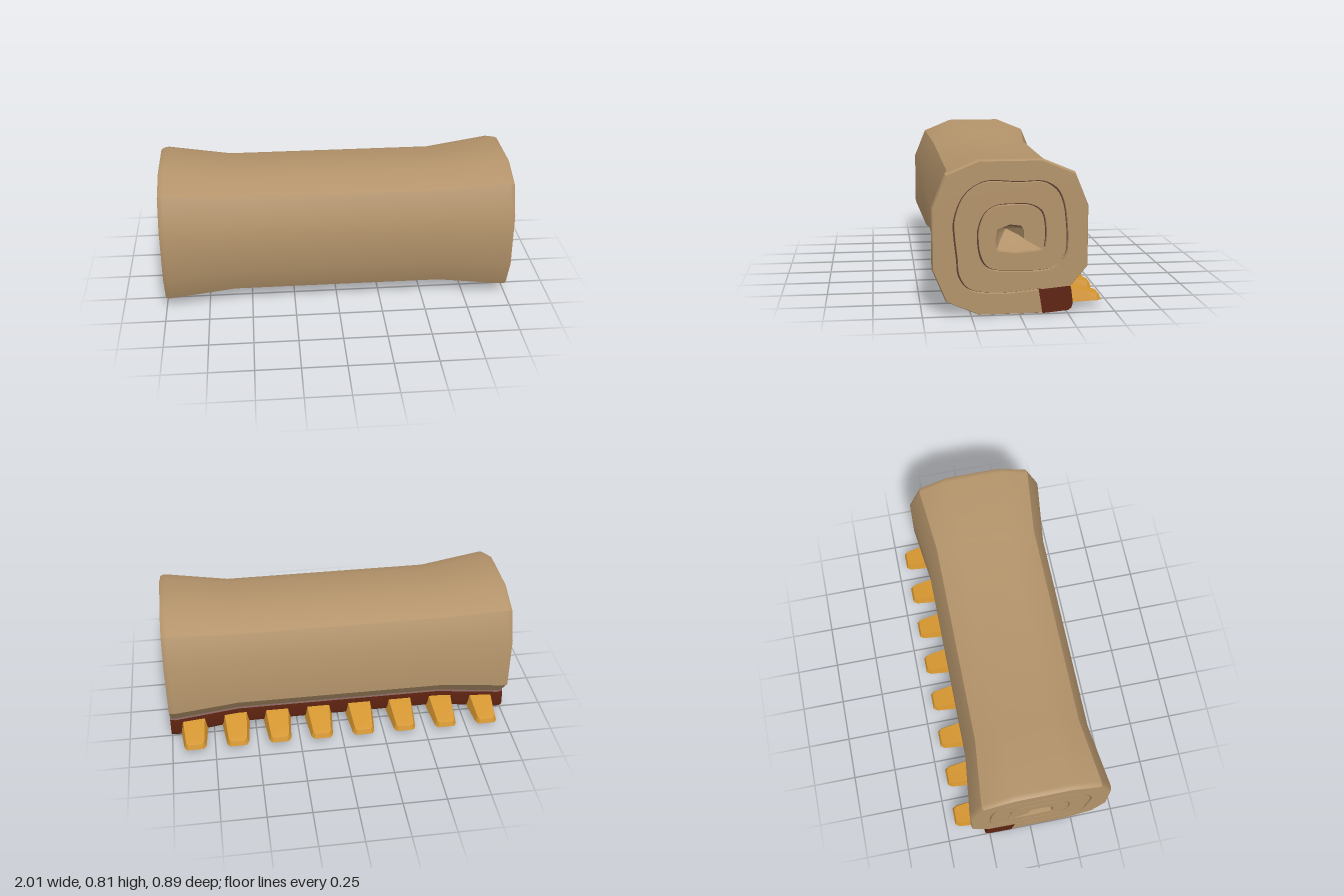
import * as THREE from 'three';
import { toCreasedNormals } from 'three/addons/utils/BufferGeometryUtils.js';

// Skin a list of equal-length rings; caps close the two ends with fans
function loft(rings, caps, crease) {
  const n = rings[0].length, index = [];
  for (let r = 0; r < rings.length - 1; r++) {
    for (let i = 0; i < n; i++) {
      const a = r * n + i, b = r * n + (i + 1) % n;
      index.push(a, a + n, b, b, a + n, b + n);
    }
  }
  if (caps) {
    const last = (rings.length - 1) * n;
    for (let i = 1; i < n - 1; i++) index.push(0, i, i + 1, last, last + i + 1, last + i);
  }
  const geometry = new THREE.BufferGeometry();
  geometry.setAttribute('position', new THREE.Float32BufferAttribute(rings.flat(2), 3));
  geometry.setIndex(index);
  return toCreasedNormals(geometry, crease);
}

// Pinch a [z, y] section; the height shrinks a little less than the depth
const pinch = (pts, s) => pts.map(([z, y]) => [
  0.045 + (z - 0.045) * s, 0.32 + (y - 0.32) * (1 - (1 - s) * 0.91)]);
const ringAt = (pts, x, s) => pinch(pts, s).map(([z, y]) => [x, y, z]);
const vec = (pts) => pts.map(([z, y]) => new THREE.Vector2(z, y));

export function createModel() {
  const group = new THREE.Group();
  const material = (name, color, side = THREE.FrontSide) => {
    const m = new THREE.MeshStandardMaterial({ color, side });
    m.name = name;
    return m;
  };
  const tan = material('tan cloth', 0xb3936a, THREE.DoubleSide);
  const dark = material('dark seam', 0x573d30, THREE.DoubleSide);
  const red = material('dark red trim', 0x5e2310);
  const gold = material('gold fringe', 0xd4952f);
  const add = (name, geometry, mat) => {
    const mesh = new THREE.Mesh(geometry, mat);
    mesh.name = name;
    group.add(mesh);
    return mesh;
  };

  // Roll outline as [z, y], and how it pinches along x
  const outline = [
    [0.21, 0.805], [-0.115, 0.805], [-0.285, 0.735], [-0.355, 0.565], [-0.355, 0.245],
    [-0.267, 0.14], [-0.12, 0], [0.21, 0], [0.38, 0.075], [0.45, 0.245],
    [0.45, 0.565], [0.38, 0.735]];
  const stations = [[-1, 0.982], [-0.99, 0.995], [-0.97, 1], [-0.6, 0.89],
    [0.6, 0.89], [0.97, 1], [0.99, 0.995], [1, 0.982]];
  add('roll', loft(stations.map(([x, s]) => ringAt(outline, x, s)), false, 0.6), tan);

  // Spiral seam outline, made by offsetting a curve to both sides
  const path = [
    [-0.125, 0.347], [-0.133, 0.4], [-0.13, 0.48], [-0.11, 0.54], [-0.05, 0.573], [0.03, 0.577],
    [0.12, 0.57], [0.18, 0.53], [0.21, 0.46], [0.215, 0.4], [0.205, 0.32], [0.175, 0.26],
    [0.12, 0.235], [0, 0.23], [-0.12, 0.23], [-0.19, 0.255], [-0.235, 0.31], [-0.245, 0.38],
    [-0.24, 0.48], [-0.225, 0.58], [-0.19, 0.65], [-0.12, 0.69], [-0.02, 0.69], [0.05, 0.692],
    [0.16, 0.697], [0.24, 0.665], [0.3, 0.6], [0.335, 0.5], [0.335, 0.42], [0.322, 0.3],
    [0.315, 0.22], [0.28, 0.155], [0.22, 0.125], [0.1, 0.115], [0, 0.12], [-0.11, 0.13]];
  const curve = new THREE.SplineCurve(vec(path));
  const inner = [], outer = [], half = 0.0047;
  for (let i = 0; i <= 140; i++) {
    const p = curve.getPoint(i / 140), t = curve.getTangent(i / 140);
    inner.push(new THREE.Vector2(p.x - t.y * half, p.y + t.x * half));
    outer.push(new THREE.Vector2(p.x + t.y * half, p.y - t.x * half));
  }
  const slit = [...inner, ...outer.reverse()];

  // Hollow core, with a slightly taller opening in the end face
  const core = [
    [0.115, 0.45], [0.126, 0.39], [0.115, 0.336], [0.02, 0.322], [-0.1, 0.333],
    [-0.118, 0.34], [-0.022, 0.395], [-0.02, 0.443], [-0.005, 0.453], [0.05, 0.46]];
  const opening = core.map(([z, y]) => [z, y > 0.452 ? y + 0.013 : y]);

  const depth = 0.03;
  const face = new THREE.Shape(vec(pinch(outline, 0.982)));
  face.holes.push(new THREE.Path(slit), new THREE.Path(vec(opening)));
  const faceGeometry = new THREE.ExtrudeGeometry(face, { depth, bevelEnabled: false });
  faceGeometry.rotateY(-Math.PI / 2);

  const back = new THREE.Shape(vec(pinch(outline, 0.95)));
  back.holes.push(new THREE.Path(vec(core)));
  const backGeometry = new THREE.ShapeGeometry(back).rotateY(-Math.PI / 2);

  for (const [side, label] of [[1, 'left'], [-1, 'right']]) {
    add(label + 'EndFace', faceGeometry, tan).position.x = side > 0 ? 1 : -1 + depth;
    add(label + 'SeamFloor', backGeometry, dark).position.x = side * (1 - depth);
    // Core narrows inward to a tip
    const rings = [[depth, 1], [0.14, 0.6], [0.25, 0.01]].map(([d, s]) =>
      core.map(([z, y]) => [side * (1 - d), 0.4 + (y - 0.4) * s, 0.04 + (z - 0.04) * s]));
    add(label + 'Core', loft(rings, false, 0.9), tan);
  }

  // Trim along the loose edge, following the pinch
  const trim = [
    [-0.26, 0.142], [-0.27, 0.13], [-0.28, 0.05], [-0.272, 0.024],
    [-0.255, 0.012], [-0.12, 0], [-0.1, 0.127]];
  const trimStations = [[-1.003, 0.99], [-0.97, 1.004], [-0.6, 0.894],
    [0.6, 0.894], [0.97, 1.004], [1.003, 0.99]];
  add('edgeTrim', loft(trimStations.map(([x, s]) => ringAt(trim, x, s)), true, 0.5), red);

  // Fringe tassels: tapered blocks with a clipped tip
  const sections = [
    // z, bottom half width, top half width, bottom y, top y, top setback
    [-0.228, 0.083, 0.067, 0.047, 0.122, 0],
    [-0.25, 0.081, 0.065, 0.04, 0.116, 0],
    [-0.42, 0.064, 0.052, 0.04, 0.074, 0],
    [-0.445, 0.048, 0.04, 0.04, 0.068, 0.01]];
  const tassel = loft(sections.map(([z, wb, wt, y0, y1, back]) => [
    [wb, y0, z], [wt, y1, z + back], [-wt, y1, z + back], [-wb, y0, z]]), true, 0.3);
  for (let i = 0; i < 8; i++) {
    add('tassel' + (i + 1), tassel, gold).position.x = -0.867 + i * 0.2475;
  }
  return group;
}
